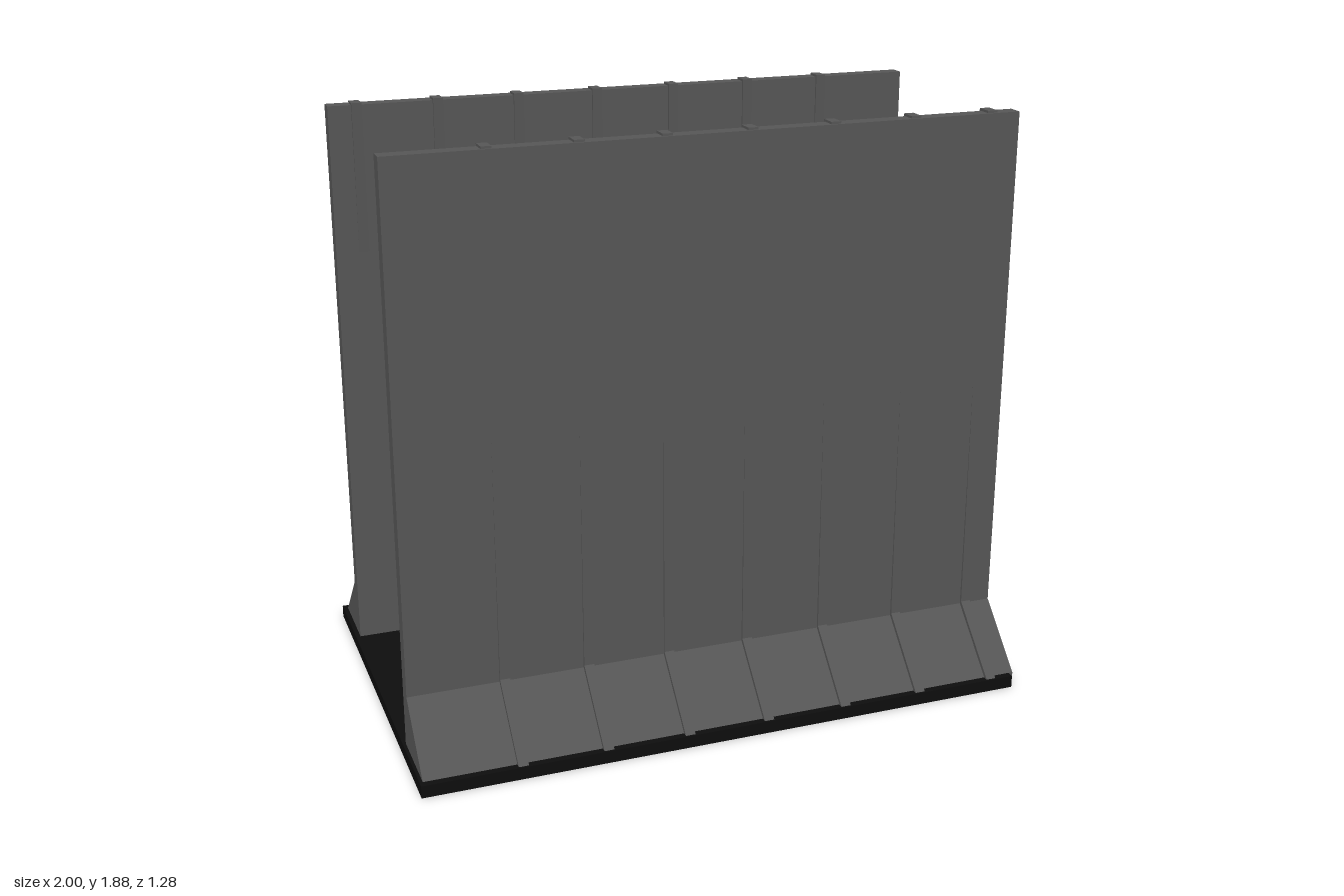
import * as THREE from 'three';

const wallMat = new THREE.MeshStandardMaterial({ color: 0x555555, flatShading: true });
const baseMat = new THREE.MeshStandardMaterial({ color: 0x0d0d0d });
const frameMat = new THREE.MeshStandardMaterial({ color: 0x85481f });
const glassMat = new THREE.MeshStandardMaterial({ color: 0x7fa3c4 });

function add(parent, name, geo, mat, x = 0, y = 0, z = 0) {
  const m = new THREE.Mesh(geo, mat);
  m.name = name;
  m.position.set(x, y, z);
  parent.add(m);
  return m;
}

// Extrudes a [z, y] cross-section along x from x0 to x1
function section(points, x0, x1) {
  const shape = new THREE.Shape(points.map(([z, y]) => new THREE.Vector2(-z, y)));
  const geo = new THREE.ExtrudeGeometry(shape, { depth: x1 - x0, bevelEnabled: false });
  return geo.rotateY(Math.PI / 2).translate(x0, 0, 0);
}

const W = 0.2125, Y0 = 0.69, Y1 = 1.13, RX = 0.12, RY = 0.1, BORDER = 0.025;

// Window outline with rounded upper corners, inset by t
function outline(Type, t) {
  const s = new Type();
  const w = W - t, rx = RX - t, ry = RY - t;
  s.moveTo(-w, Y0 + t);
  s.lineTo(w, Y0 + t);
  s.lineTo(w, Y1 - RY);
  s.absellipse(W - RX, Y1 - RY, rx, ry, 0, Math.PI / 2, false);
  s.lineTo(-(W - RX), Y1 - t);
  s.absellipse(-(W - RX), Y1 - RY, rx, ry, Math.PI / 2, Math.PI, false);
  s.closePath();
  return s;
}

// Barred window, its back resting at z = 0 and facing +z
function makeWindow() {
  const g = new THREE.Group();
  g.name = 'window';
  const rim = outline(THREE.Shape, 0);
  rim.holes.push(outline(THREE.Path, BORDER));
  add(g, 'windowFrame', new THREE.ExtrudeGeometry(rim, { depth: 0.025, bevelEnabled: false, curveSegments: 8 }), frameMat);

  // Rows of glass, shortened where the corners round off
  const low = Y0 + BORDER, pitch = (Y1 - Y0 - 2 * BORDER) / 8;
  for (let i = 0; i < 8; i++) {
    const y = low + (i + 0.5) * pitch, h = 0.031;
    const k = Math.min(1, Math.max(0, (y + h / 2 - (Y1 - RY)) / RY));
    const half = W - RX + (RX - 0.01) * Math.sqrt(1 - k * k);
    add(g, 'glassRow', new THREE.BoxGeometry(2 * Math.min(half, W - 0.01), h, 0.008), glassMat, 0, y, 0.006);
  }
  // Upright bars
  for (const x of [-0.0935, 0, 0.0935]) {
    add(g, 'windowBar', new THREE.BoxGeometry(0.014, Y1 - Y0 - 0.03, 0.015), frameMat, x, (Y0 + Y1) / 2, 0.0085);
  }
  return g;
}

// Wall with a flared foot on its outer (+z) side
function makeWall() {
  const g = new THREE.Group();
  add(g, 'wallPanel', section([[0.38, 0.015], [0.615, 0.015], [0.615, 0.04], [0.43, 0.225], [0.43, 1.873], [0.38, 1.873]], -0.995, 0.99), wallMat);
  // Slightly leaning ribs: proud of the outside low down, of the inside at the top
  const rib = [[0.395, 0.015], [0.632, 0.015], [0.632, 0.04], [0.438, 0.235], [0.43, 1.03],
    [0.423, 1.88], [0.372, 1.88], [0.38, 1.4]];
  for (const x of [-0.69, -0.42, -0.155, 0.11, 0.375, 0.64, 0.9]) {
    add(g, 'wallRib', section(rib, x - 0.016, x + 0.016), wallMat);
  }
  return g;
}

export function createModel() {
  const model = new THREE.Group();
  model.name = 'walledPassage';

  // Floor slab
  add(model, 'floor', new THREE.BoxGeometry(1.98, 0.04, 1.276), baseMat, -0.01, 0.02, 0);

  // Two facing walls, the second turned half round
  for (const [name, turn] of [['frontWall', 0], ['backWall', Math.PI]]) {
    const wall = makeWall();
    wall.name = name;
    wall.rotation.y = turn;
    wall.position.x = 0.005;
    model.add(wall);
  }

  // Two windows on the inner face of each wall
  for (const side of [1, -1]) {
    for (const x of [-0.5325, 0.4925]) {
      const win = makeWindow();
      win.position.set(x, 0, side * 0.38);
      win.rotation.y = side > 0 ? Math.PI : 0;
      model.add(win);
    }
  }
  return model;
}
